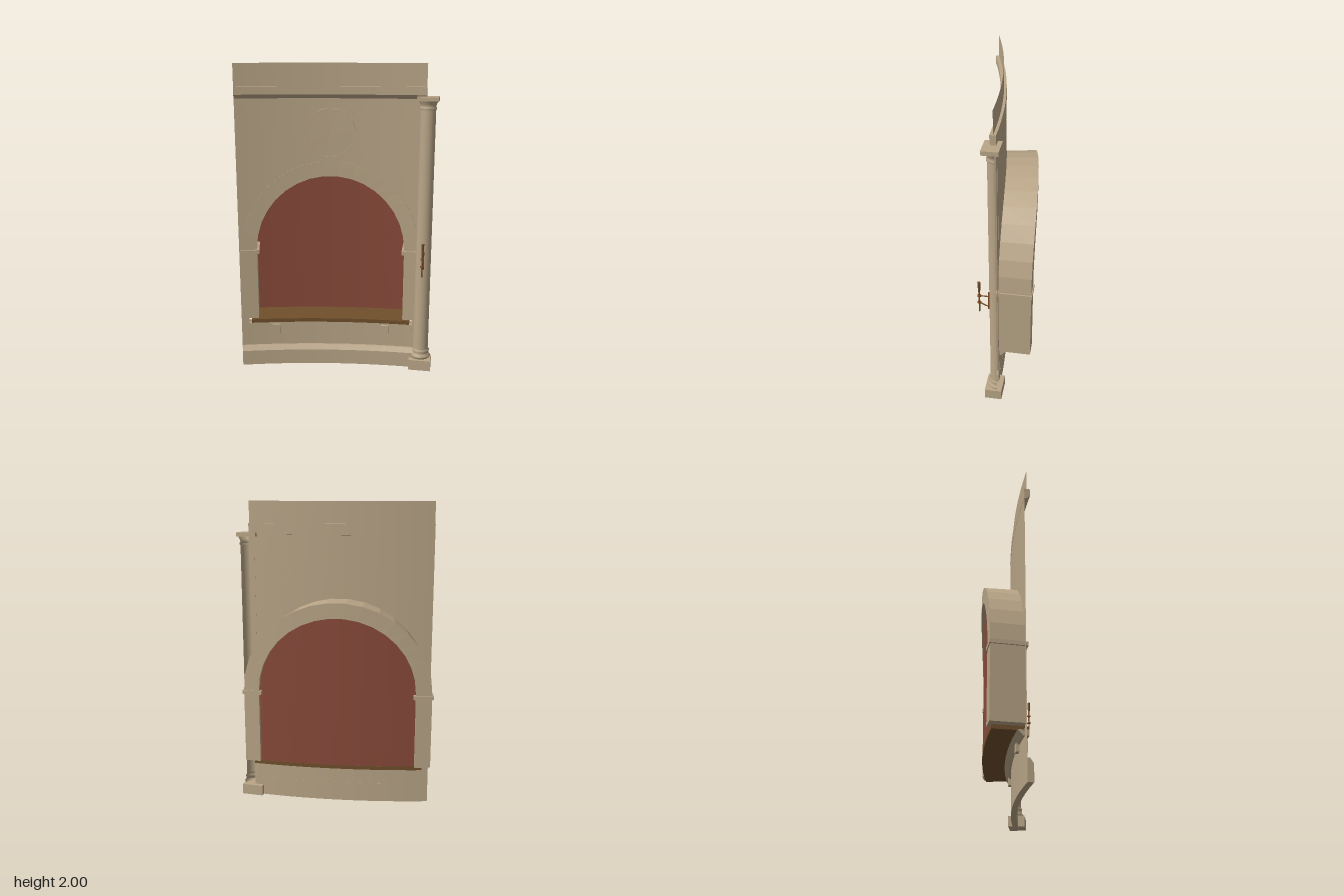
import * as THREE from 'three';

const stone = new THREE.MeshStandardMaterial({ color: 0xbaa688, side: THREE.DoubleSide });
stone.name = 'stone';
const brick = new THREE.MeshStandardMaterial({ color: 0x8a4a3a, side: THREE.DoubleSide });
brick.name = 'redPanel';
const wood = new THREE.MeshStandardMaterial({ color: 0x70502c });
wood.name = 'wood';
const bronze = new THREE.MeshStandardMaterial({ color: 0x7a4a22 });
bronze.name = 'bronze';

const R = 4;          // radius of the curved wall
const XC = -0.035;    // middle of the wall bay
const SPRING = 0.81;  // height where the arch starts
const SILL = 0.325;

// Apply a rule to every vertex
function warp(geo, rule) {
  const p = geo.attributes.position;
  const v = new THREE.Vector3();
  for (let i = 0; i < p.count; i++) {
    rule(v.fromBufferAttribute(p, i));
    p.setXYZ(i, v.x, v.y, v.z);
  }
  return geo;
}

// Bend a flat piece around the wall's vertical axis
function bend(geo) {
  const g = geo.index ? geo.toNonIndexed() : geo;
  warp(g, (v) => {
    const a = v.x / R, r = R - v.z;
    v.x = XC + r * Math.sin(a);
    v.z = R - r * Math.cos(a);
  });
  g.computeVertexNormals();
  return g;
}

function add(parent, name, geo, mat, x = 0, y = 0, z = 0) {
  const m = new THREE.Mesh(geo, mat);
  m.name = name;
  m.position.set(x, y, z);
  parent.add(m);
  return m;
}

// Sweep a [z, y] profile along the wall from x0 to x1
function sweep(profile, x0, x1, steps = 24) {
  const shape = new THREE.Shape(profile.map(([z, y]) => new THREE.Vector2(-z, y)));
  const g = new THREE.ExtrudeGeometry(shape, { depth: x1 - x0, steps, bevelEnabled: false });
  g.rotateY(Math.PI / 2).translate(x0, 0, 0);
  return bend(g);
}

const rect = (z0, z1, y0, y1) => [[z0, y0], [z1, y0], [z1, y1], [z0, y1]];

// Thin curved sheet with its lower and upper edges given as functions of x
function sheet(half, z, low, high, cols = 48) {
  const g = new THREE.PlaneGeometry(half * 2, 1, cols, 1);
  return bend(warp(g, (v) => {
    v.y = v.y < 0 ? low(v.x) : high(v.x);
    v.z = z;
  }));
}

const archLine = (x, r, outside) =>
  Math.abs(x) <= r + 1e-6 ? SPRING + Math.sqrt(Math.max(0, r * r - x * x)) : outside;

export function createModel() {
  const model = new THREE.Group();
  model.name = 'archedNiche';

  // Wall around the opening
  add(model, 'wall', sheet(0.6, 0.015, (x) => archLine(x, 0.53, 0.31), () => 1.8), stone);
  add(model, 'lowerWall', sheet(0.6, 0.015, () => 0, () => 0.31), stone);
  add(model, 'upperPanel', sheet(0.6, 0.03, () => 1.85, () => 2), stone);

  // Horizontal mouldings
  add(model, 'baseboard', sweep([[0.014, 0], [0.05, 0], [0.05, 0.1], [0.03, 0.13], [0.014, 0.13]], -0.6, 0.6), stone);
  add(model, 'cornice', sweep(
    [[0.014, 1.79], [0.025, 1.785], [0.05, 1.81], [0.05, 1.86], [0.014, 1.86]], -0.6, 0.6), stone);

  // Red back of the niche
  add(model, 'nichePanel', sheet(0.5, -0.163, () => 0.315, (x) => archLine(x, 0.5, SPRING)), brick);

  // Arch stones
  const arch = new THREE.Group();
  arch.name = 'archStones';
  model.add(arch);
  const IN = 0.483, OUT = 0.58, FRONT = 0.02, BACK = -0.185, COUNT = 17;
  const wedge = Math.PI / COUNT;
  for (let i = 0; i < COUNT; i++) {
    const mid = (i - (COUNT - 1) / 2) * wedge;
    const g = warp(new THREE.BoxGeometry(1, 1, 1), (v) => {
      const t = mid + v.x * wedge;
      const r = v.y < 0 ? IN : OUT;
      v.set(r * Math.sin(t), SPRING + r * Math.cos(t), v.z > 0 ? FRONT : BACK);
    });
    add(arch, 'archStone', bend(g), stone);
  }

  // Jamb blocks and imposts on both sides
  for (const s of [-1, 1]) {
    const span = (a, b) => (s > 0 ? [a, b] : [-b, -a]);
    for (let i = 0; i < 4; i++) {
      const h = (SPRING - SILL) / 4;
      add(arch, 'jambStone', sweep(rect(BACK, FRONT, SILL + i * h, SILL + (i + 1) * h), ...span(IN, OUT), 1), stone);
    }
    add(arch, 'impost', sweep(rect(BACK - 0.006, 0.032, 0.78, 0.805), ...span(0.468, 0.59), 1), stone);
  }

  // Wooden sill on a stone ledge with two corbels
  add(model, 'sill', sweep(rect(-0.165, 0.042, 0.3, SILL), -0.53, 0.53), wood);
  add(model, 'ledge', sweep([[0.005, 0.265], [0.04, 0.265], [0.04, 0.299], [-0.025, 0.299]], -0.55, 0.55), stone);
  for (const x of [-0.367, 0.367]) {
    add(model, 'corbel', sweep(rect(-0.005, 0.062, 0.225, 0.29), x - 0.025, x + 0.025, 1), stone);
  }

  // Round medallion with four lobes
  const medallion = new THREE.Group();
  medallion.name = 'medallion';
  model.add(medallion);
  const disc = (r, depth, x, y) =>
    bend(new THREE.CylinderGeometry(r, r, depth, 40).rotateX(Math.PI / 2).translate(x, 1.565 + y, 0.015 + depth / 2));
  for (const sx of [-1, 1]) {
    for (const sy of [-1, 1]) add(medallion, 'lobe', disc(0.052, 0.008, sx * 0.101, sy * 0.101), stone);
  }
  add(medallion, 'disc', disc(0.15, 0.01, 0, 0), stone);
  const ring = new THREE.Shape().absarc(0, 0, 0.16, 0, Math.PI * 2);
  ring.holes.push(new THREE.Path().absarc(0, 0, 0.144, 0, Math.PI * 2, true));
  const ringGeo = new THREE.ExtrudeGeometry(ring, { depth: 0.016, bevelEnabled: false, curveSegments: 48 });
  add(medallion, 'ring', bend(ringGeo.translate(0, 1.565, 0.015)), stone);

  // Half column at the model's left edge
  const column = new THREE.Group();
  column.name = 'column';
  column.position.set(0.57, 0, 0.06);
  column.rotation.y = -0.15;
  model.add(column);
  add(column, 'plinth', new THREE.BoxGeometry(0.145, 0.07, 0.108), stone, 0, 0.035, 0.024);
  add(column, 'capital', new THREE.BoxGeometry(0.132, 0.025, 0.098), stone, 0, 1.789, 0.023);
  const profile = [
    [0.058, 0.07], [0.066, 0.08], [0.066, 0.09], [0.057, 0.1], [0.055, 0.112], [0.059, 0.12], [0.057, 0.13],
    [0.05, 0.138], [0.048, 1.72], [0.053, 1.724], [0.053, 1.735], [0.048, 1.74], [0.051, 1.755], [0.063, 1.777],
  ].map(([r, y]) => new THREE.Vector2(r, y));
  add(column, 'shaft', new THREE.LatheGeometry(profile, 16, -Math.PI / 2, Math.PI), stone);

  // Torch on a bracket fixed to the column
  const torch = new THREE.Group();
  torch.name = 'torch';
  column.add(torch);
  add(torch, 'backPlate', new THREE.BoxGeometry(0.016, 0.12, 0.012), bronze, 0, 0.76, 0.052);
  add(torch, 'torchHandle', new THREE.CylinderGeometry(0.006, 0.004, 0.17, 10), bronze, 0, 0.755, 0.112);
  add(torch, 'torchHead', new THREE.CylinderGeometry(0.01, 0.007, 0.06, 10), wood, 0, 0.86, 0.112);
  for (const y of [0.74, 0.79]) {
    add(torch, 'torchCollar', new THREE.CylinderGeometry(0.012, 0.012, 0.008, 12), bronze, 0, y, 0.112);
  }
  const arm = (y0, y1) => new THREE.TubeGeometry(
    new THREE.LineCurve3(new THREE.Vector3(0, y0, 0.05), new THREE.Vector3(0, y1, 0.112)), 1, 0.004, 6);
  add(torch, 'upperArm', arm(0.79, 0.79), bronze);
  add(torch, 'lowerArm', arm(0.71, 0.74), bronze);

  return model;
}
